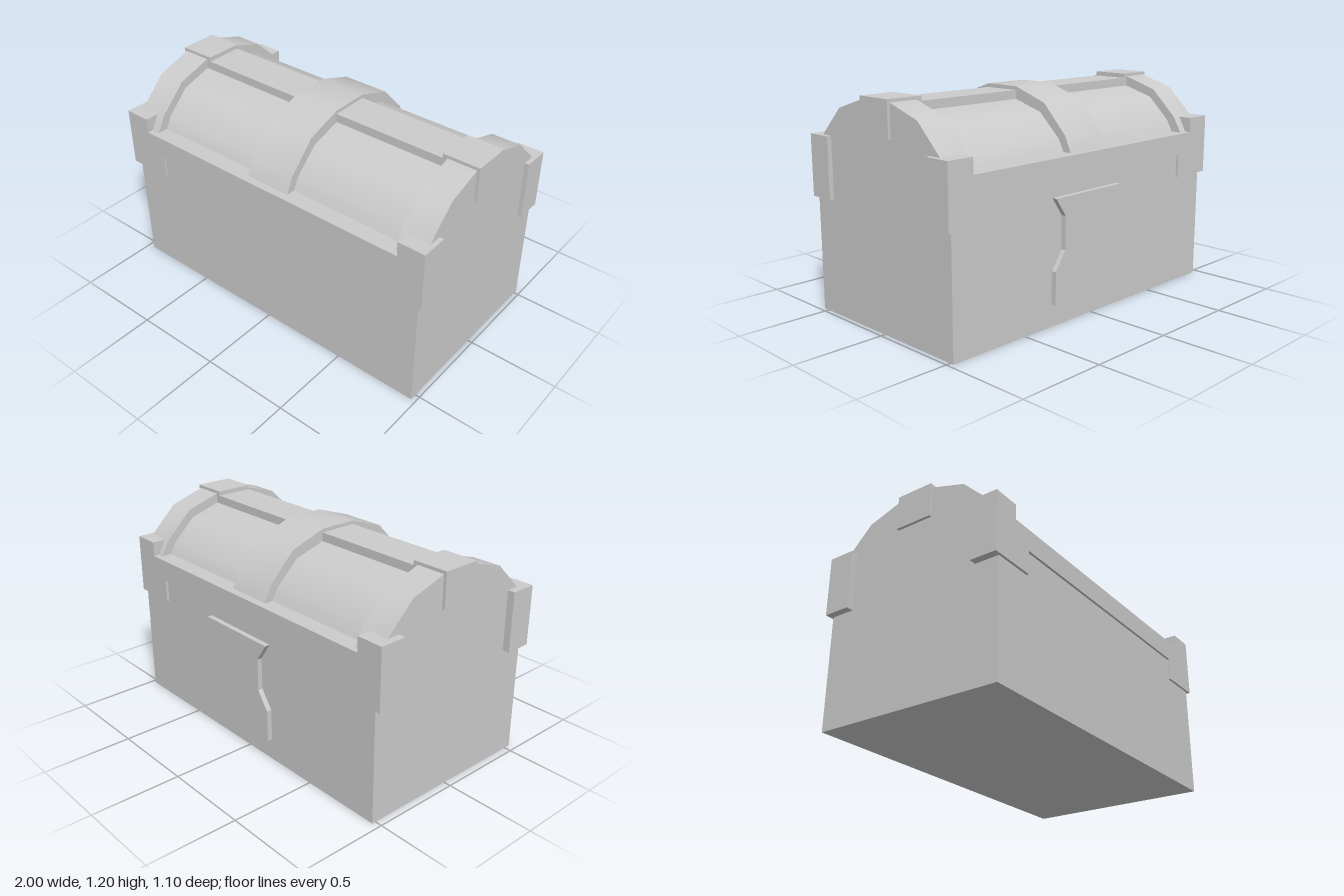
import * as THREE from 'three';
import { toCreasedNormals } from 'three/addons/utils/BufferGeometryUtils.js';

const CX = 0.0075, CZ = 0.008; // chest centre
const RIM_Y = 0.88;

export function createModel() {
  const root = new THREE.Group();
  root.name = 'chest';
  const material = new THREE.MeshStandardMaterial({ color: 0xcccccc });

  const add = (name, geometry, x = CX, y = 0, z = CZ) => {
    const mesh = new THREE.Mesh(geometry, material);
    mesh.name = name;
    mesh.position.set(x, y, z);
    root.add(mesh);
    return mesh;
  };
  const box = (name, w, h, d, x, y, z) => add(name, new THREE.BoxGeometry(w, h, d), x, y, z);
  const extrude = (points, depth) => {
    const shape = new THREE.Shape(points.map(([x, y]) => new THREE.Vector2(x, y)));
    const geometry = new THREE.ExtrudeGeometry(shape, { depth, bevelEnabled: false });
    return geometry.translate(0, 0, -depth / 2);
  };
  // Mirrors one half of an outline to close a symmetric shape
  const mirrored = (half) => [...half, ...half.map(([x, y]) => [-x, y]).reverse()];

  // Arched slab spanning x, smooth over its facets
  const arch = (name, half, width, x) => {
    const geometry = extrude(mirrored(half), width).rotateY(Math.PI / 2);
    add(name, toCreasedNormals(geometry, 0.8), x);
  };

  // Body
  box('body', 1.935, RIM_Y, 1.06, CX, RIM_Y / 2, CZ);

  // Lid with raised bands and ridge
  arch('lid', [[0.45, RIM_Y], [0.415, 0.945], [0.285, 1.07], [0.1, 1.125]], 1.9, CX);
  arch('centreStrap', [[0.5, RIM_Y], [0.46, 0.965], [0.312, 1.12], [0.107, 1.19]], 0.27, CX);
  box('ridge', 1.64, 0.2, 0.215, CX, 1.07, CZ);
  for (const s of [-1, 1]) {
    const side = s > 0 ? 'left' : 'right';
    arch(side + 'EndBand', [[0.51, RIM_Y], [0.463, 0.965], [0.3085, 1.115], [0.107, 1.178]],
      0.1625, CX + s * 0.88625);
    box(side + 'RidgeCap', 0.205, 0.193, 0.215, CX + s * 0.8805, 1.0985, CZ);
  }

  // Front and back rims with stepped corner guards
  const rimHalf = [[0.74, 0.76], [0.74, 0.63], [1, 0.63], [1, 0.963], [0.848, 0.963], [0.848, RIM_Y]];
  for (const s of [-1, 1]) {
    add(s > 0 ? 'frontRim' : 'backRim', extrude(mirrored(rimHalf), 0.15), 0, 0, CZ + s * 0.468);
  }

  // Waisted plate on the back
  const plateHalf = [[0.2525, 0.12], [0.2525, 0.3], [0.1825, 0.4], [0.1825, 0.58], [0.2525, 0.68]];
  add('backPlate', extrude(mirrored(plateHalf), 0.04), 0.0575, 0, -0.53);

  return root;
}
